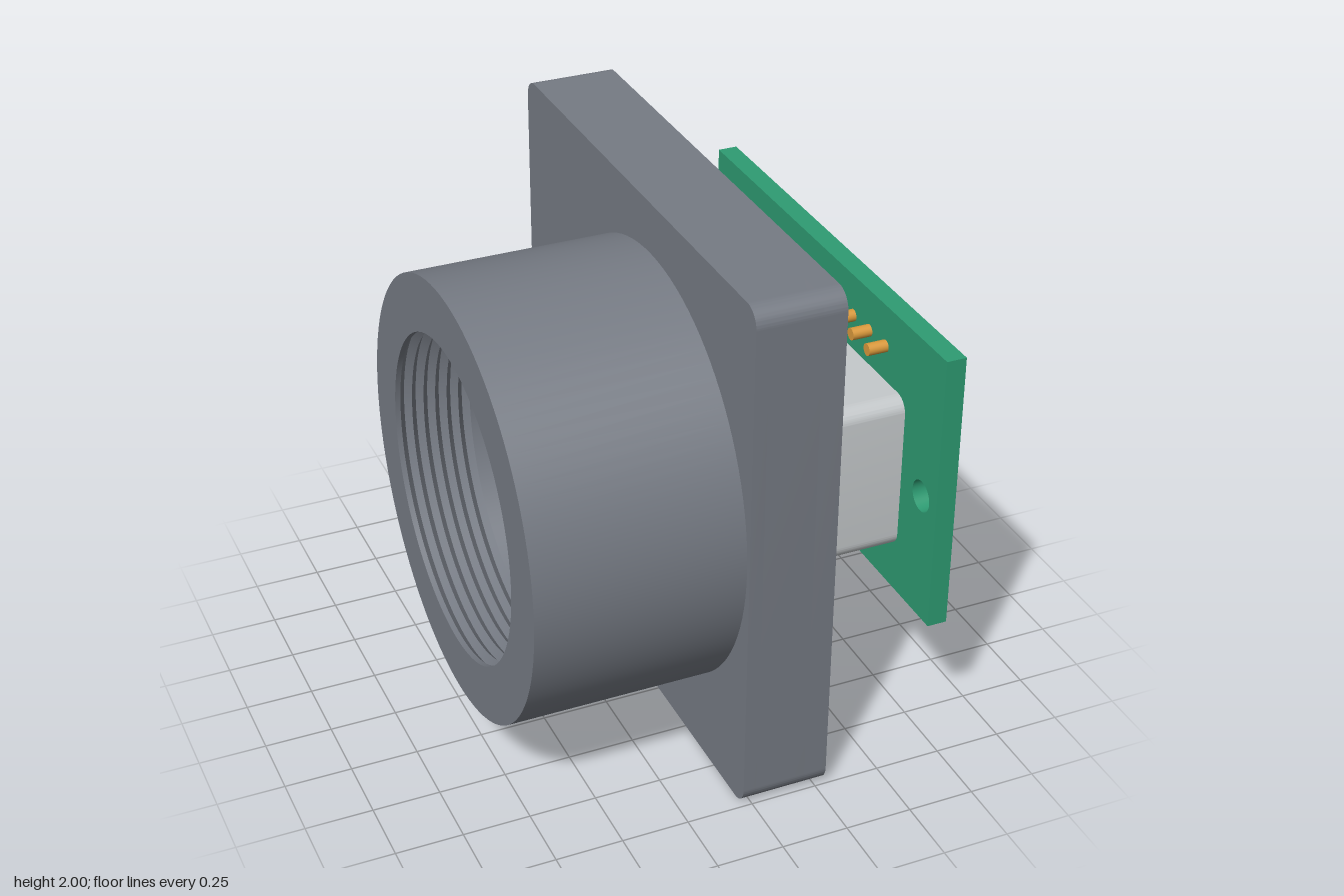
import * as THREE from 'three';
import { toCreasedNormals } from 'three/addons/utils/BufferGeometryUtils.js';

const material = (name, color) => new THREE.MeshStandardMaterial({ name, color });

// Rounded rectangle, drawn in the plane u = -z, v = y
function roundedRect(path, u0, u1, v0, v1, r) {
  path.moveTo(u0 + r, v0);
  path.lineTo(u1 - r, v0);
  path.absarc(u1 - r, v0 + r, r, -Math.PI / 2, 0);
  path.lineTo(u1, v1 - r);
  path.absarc(u1 - r, v1 - r, r, 0, Math.PI / 2);
  path.lineTo(u0 + r, v1);
  path.absarc(u0 + r, v1 - r, r, Math.PI / 2, Math.PI);
  path.lineTo(u0, v0 + r);
  path.absarc(u0 + r, v0 + r, r, Math.PI, Math.PI * 1.5);
  path.closePath();
  return path;
}

const rectShape = (...a) => roundedRect(new THREE.Shape(), ...a);
const rectHole = (...a) => roundedRect(new THREE.Path(), ...a);
const roundHole = (u, v, r) => new THREE.Path().absarc(u, v, r, 0, Math.PI * 2);

// Extrude a shape along x from x0 to x1
function slab(name, shape, holes, x0, x1, mat) {
  shape.holes.push(...holes);
  const geo = new THREE.ExtrudeGeometry(shape, { depth: x1 - x0, bevelEnabled: false, curveSegments: 16 });
  geo.rotateY(Math.PI / 2).translate(x0, 0, 0);
  const mesh = new THREE.Mesh(toCreasedNormals(geo, 0.6), mat);
  mesh.name = name;
  return mesh;
}

export function createModel() {
  const metal = material('housing grey', 0x767b84);
  const light = material('sensor light grey', 0xc4c8ca);
  const green = material('board green', 0x2e9c73);
  const brass = material('pin brass', 0xdb9a3c);

  const model = new THREE.Group();
  model.name = 'mountAssembly';
  const axisZ = 0.17;
  const screwU = [-0.8, 0.8];

  // Square flange in three layers: back skin, pocket floor, pocket rim
  const flange = new THREE.Group();
  flange.name = 'flange';
  const outline = () => rectShape(-1, 1, 0, 2, 0.07);
  const sensorOpening = () => rectHole(-0.675, 0.335, 0.67, 1.33, 0.07);
  const pinSlot = rectHole(-0.54, 0.2, 1.35, 1.55, 0.0999);
  const pocket = rectHole(-0.92, 0.92, 0.505, 1.61, 0.03);
  flange.add(
    slab('flangeBack', outline(), [sensorOpening()], -0.035, 0.015, metal),
    slab('flangeFloor', outline(),
      [sensorOpening(), pinSlot, ...screwU.map((u) => roundHole(u, 1, 0.04))], 0.015, 0.205, metal),
    slab('flangeRim', outline(), [pocket], 0.205, 0.29, metal),
  );
  model.add(flange);

  // Barrel with thread grooves just inside its mouth
  const mouth = -0.8, bore = 0.6, pitch = 0.045, turns = 6;
  const profile = [[bore, -0.035]];
  for (let i = turns; i > 0; i--) {
    const h = mouth + 0.02 + i * pitch;
    profile.push([bore, h], [bore + 0.025, h - pitch / 2]);
  }
  profile.push([bore, mouth + 0.02], [bore, mouth], [0.81, mouth], [0.81, -0.035]);
  const barrelGeo = new THREE.LatheGeometry(profile.map(([r, h]) => new THREE.Vector2(r, h)), 96);
  barrelGeo.rotateZ(-Math.PI / 2).translate(0, 1, axisZ);
  const barrel = new THREE.Mesh(toCreasedNormals(barrelGeo, 0.5), metal);
  barrel.name = 'threadedBarrel';
  model.add(barrel);

  // Circuit board with two screw holes
  const board = new THREE.Shape([
    new THREE.Vector2(-0.91, 0.51), new THREE.Vector2(0.91, 0.51),
    new THREE.Vector2(0.91, 1.6), new THREE.Vector2(-0.91, 1.6),
  ]);
  model.add(slab('circuitBoard', board, screwU.map((u) => roundHole(u, 1, 0.06)), 0.725, 0.8, green));

  // Sensor block reaching from the board into the flange
  model.add(slab('sensorBlock', rectShape(-0.655, 0.32, 0.69, 1.31, 0.06), [], 0.15, 0.725, light));

  // Row of pins on the board
  const pinGeo = new THREE.CylinderGeometry(0.023, 0.023, 0.075, 20).rotateZ(Math.PI / 2);
  for (let i = 0; i < 6; i++) {
    const pin = new THREE.Mesh(pinGeo, brass);
    pin.name = 'pin' + (i + 1);
    pin.position.set(0.6875, 1.445, -0.118 + i * 0.1215);
    model.add(pin);
  }

  return model;
}
